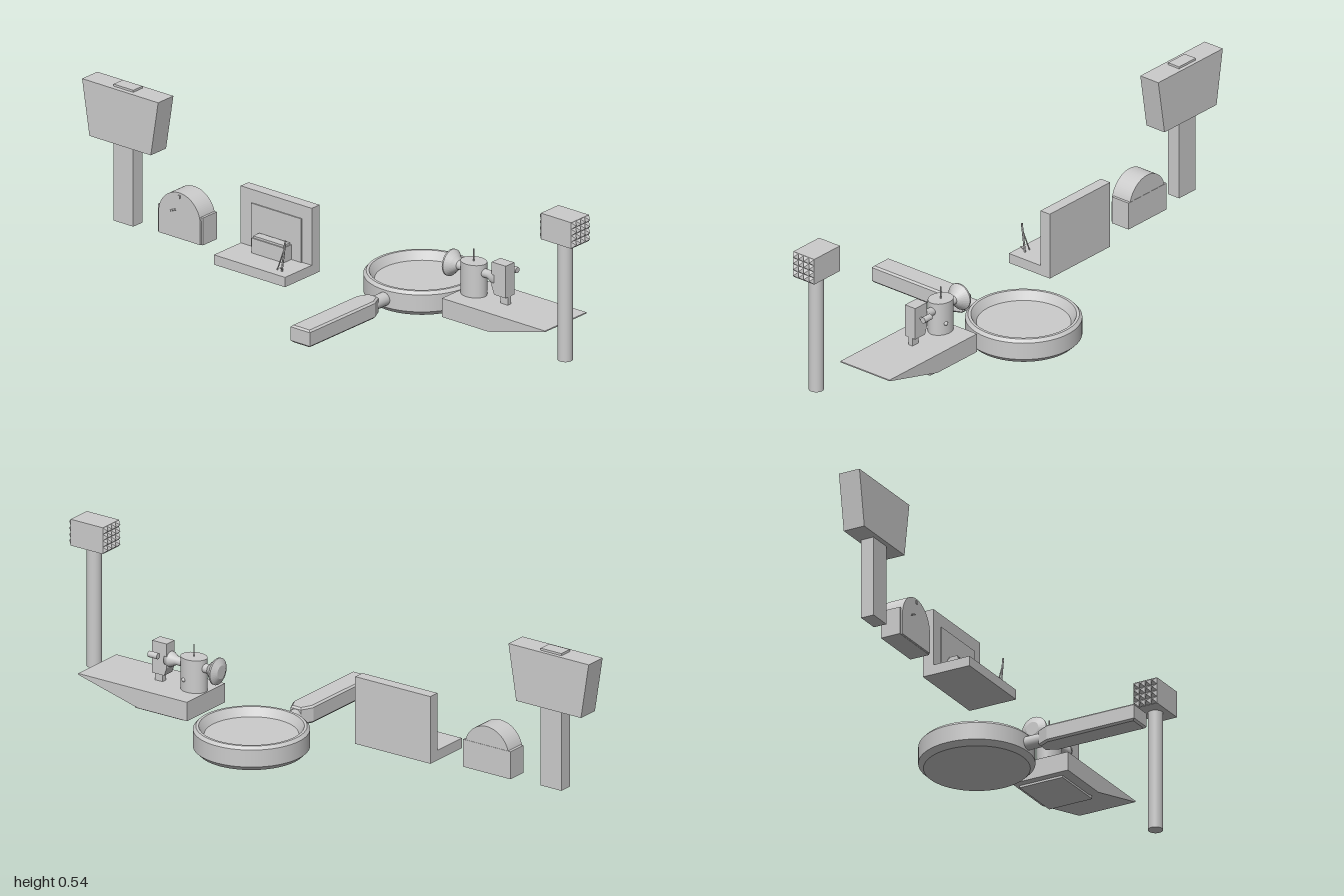
import * as THREE from 'three';

const mat = new THREE.MeshStandardMaterial({ color: 0xcccccc });
const flat = new THREE.MeshStandardMaterial({ color: 0xcccccc, flatShading: true });

function add(parent, name, geo, x = 0, y = 0, z = 0, m = flat) {
  const mesh = new THREE.Mesh(geo, m);
  mesh.name = name;
  mesh.position.set(x, y, z);
  parent.add(mesh);
  return mesh;
}

// Box given by its extents on each axis
function box(parent, name, x0, x1, y0, y1, z0, z1) {
  return add(parent, name, new THREE.BoxGeometry(x1 - x0, y1 - y0, z1 - z0),
    (x0 + x1) / 2, (y0 + y1) / 2, (z0 + z1) / 2);
}

// Outline in x and y, extruded from z0 to z1
function slab(parent, name, points, z0, z1) {
  const shape = new THREE.Shape(points.map(p => new THREE.Vector2(...p)));
  const geo = new THREE.ExtrudeGeometry(shape, { depth: z1 - z0, bevelEnabled: false });
  return add(parent, name, geo, 0, 0, z0);
}

// Thin round rod between two points
function rod(parent, name, a, b, r) {
  const path = new THREE.LineCurve3(new THREE.Vector3(...a), new THREE.Vector3(...b));
  return add(parent, name, new THREE.TubeGeometry(path, 1, r, 8), 0, 0, 0,
    new THREE.MeshStandardMaterial({ color: 0xcccccc, side: THREE.DoubleSide }));
}

function group(root, name) {
  const g = new THREE.Group();
  g.name = name;
  root.add(g);
  return g;
}

function makePaddle(root) {
  const g = group(root, 'paddle');
  slab(g, 'paddleHead', [[-0.97, 0.315], [-0.72, 0.315], [-0.69, 0.5], [-1, 0.5]], -0.023, 0.051);
  box(g, 'paddleHandle', -0.885, -0.805, 0.047, 0.507, -0.01, 0.035);
}

function makeDial(root) {
  const g = group(root, 'dialBlock');
  const cx = -0.618, cy = 0.125;
  box(g, 'dialBase', -0.71, -0.527, 0.055, 0.147, -0.04, 0.028);
  // Arched body
  const arch = new THREE.Shape();
  arch.moveTo(cx - 0.085, 0.056);
  arch.lineTo(cx + 0.085, 0.056);
  arch.absarc(cx, cy, 0.085, 0, Math.PI);
  add(g, 'dialArch', new THREE.ExtrudeGeometry(arch,
    { depth: 0.073, bevelEnabled: false, curveSegments: 24 }), 0, 0, -0.039);
  // Small markers and needle on the face
  box(g, 'dialMarker', cx - 0.004, cx + 0.004, 0.192, 0.202, 0.03, 0.037);
  rod(g, 'dialNeedle', [cx - 0.035, 0.142, 0.035], [cx - 0.012, 0.152, 0.035], 0.003);
}

function makeStand(root) {
  const g = group(root, 'backboardStand');
  box(g, 'standBase', -0.415, -0.125, 0.045, 0.078, -0.06, 0.108);
  box(g, 'backboard', -0.415, -0.125, 0.045, 0.27, -0.06, -0.022);
  box(g, 'backboardInset', -0.37, -0.165, 0.078, 0.225, -0.023, -0.018);
  box(g, 'block', -0.335, -0.205, 0.078, 0.128, -0.018, 0.02);
  box(g, 'blockLid', -0.332, -0.208, 0.126, 0.135, -0.014, 0.016);
  // Leaning sticks
  rod(g, 'stick', [-0.165, 0.078, 0.076], [-0.15, 0.184, 0.076], 0.003);
  rod(g, 'shortStick', [-0.185, 0.078, 0.074], [-0.155, 0.155, 0.076], 0.002);
  rod(g, 'hook', [-0.16, 0.087, 0.076], [-0.16, 0.095, 0.09], 0.002);
}

function makePan(root) {
  const g = group(root, 'pan');
  g.position.set(0.17, 0, -0.205);
  const profile = [[0, 0], [0.167, 0], [0.183, 0.016], [0.183, 0.073], [0.174, 0.083],
    [0.165, 0.083], [0.148, 0.055], [0, 0.055]];
  // Separate bands keep the profile edges crisp and the round sides smooth
  for (let i = 0; i < profile.length - 1; i++) {
    const band = profile.slice(i, i + 2).map(p => new THREE.Vector2(...p));
    add(g, 'panBand', new THREE.LatheGeometry(band, 64), 0, 0, 0, mat);
  }
  // Round neck and bevelled grip
  const neck = add(g, 'panNeck', new THREE.CylinderGeometry(0.022, 0.022, 0.09, 24), 0, 0.043, 0.21, mat);
  neck.rotation.x = Math.PI / 2;
  const outline = [[-0.016, -0.24], [0.016, -0.24], [0.033, -0.275], [0.033, -0.584], [-0.033, -0.584], [-0.033, -0.275]];
  const shape = new THREE.Shape(outline.map(p => new THREE.Vector2(...p)));
  const grip = add(g, 'panGrip', new THREE.ExtrudeGeometry(shape,
    { depth: 0.046, bevelThickness: 0.006, bevelSize: 0.006, bevelSegments: 1 }), 0, 0.02, 0);
  grip.rotation.x = -Math.PI / 2;
}

function makeMachine(root) {
  const g = group(root, 'machine');
  const z = -0.112, axis = 0.19;
  slab(g, 'wedgeBase', [[0.41, 0.047], [0.6, 0.047], [0.83, 0.106], [0.83, 0.11], [0.41, 0.11]], -0.218, -0.016);
  box(g, 'foot', 0.435, 0.62, 0.04, 0.05, -0.205, -0.05);
  // Oval drum with a rod on top
  const drum = add(g, 'drum', new THREE.CylinderGeometry(0.045, 0.045, 0.11, 40), 0.46, 0.164, z, mat);
  drum.scale.z = 0.82;
  rod(g, 'topRod', [0.46, 0.215, z], [0.46, 0.26, z], 0.002);
  // Flared horn, then the tapering neck, both turned about x
  const turned = (name, pts, m) => {
    const mesh = add(g, name, new THREE.LatheGeometry(pts.map(p => new THREE.Vector2(...p)), 32), 0, axis, z, m);
    mesh.rotation.z = -Math.PI / 2;
  };
  turned('horn', [[0, 0.354], [0.022, 0.354], [0.044, 0.366], [0.044, 0.371], [0.028, 0.388],
    [0.015, 0.4], [0.015, 0.43]], flat);
  turned('neck', [[0.014, 0.49], [0.014, 0.525], [0.025, 0.545], [0.025, 0.56], [0, 0.56]], mat);
  // End plate and its post
  slab(g, 'endPlate', [[0.56, 0.138], [0.607, 0.138], [0.607, 0.246], [0.55, 0.246], [0.55, 0.165]], -0.133, -0.091);
  box(g, 'endPost', 0.575, 0.605, 0.108, 0.14, -0.12, -0.104);
  // Side roller and knob
  const roller = add(g, 'sideRoller', new THREE.CylinderGeometry(0.01, 0.01, 0.035, 16), 0.582, 0.21, -0.158, mat);
  roller.rotation.z = Math.PI / 2;
  rod(g, 'rollerArm', [0.582, 0.21, -0.155], [0.582, 0.2, -0.125], 0.004);
  add(g, 'sideKnob', new THREE.SphereGeometry(0.007, 12, 8), 0.475, 0.148, -0.146, mat);
}

function makeMallet(root) {
  const g = group(root, 'mallet');
  add(g, 'malletHandle', new THREE.CylinderGeometry(0.024, 0.024, 0.405, 32), 0.927, 0.2475, 0, mat);
  box(g, 'malletHead', 0.863, 0.987, 0.447, 0.535, -0.043, 0.043);
  // Pyramid teeth on both striking faces
  const step = 0.0215;
  for (const side of [-1, 1]) {
    for (let i = 0; i < 4; i++) {
      for (let j = 0; j < 4; j++) {
        const geo = new THREE.ConeGeometry(step / Math.SQRT2, 0.013, 4, 1);
        geo.rotateY(Math.PI / 4).rotateZ(-side * Math.PI / 2);
        add(g, 'tooth', geo, 0.925 + side * 0.0685, 0.491 + (i - 1.5) * step, (j - 1.5) * step);
      }
    }
  }
}

export function createModel() {
  const root = new THREE.Group();
  root.name = 'kitchenTools';
  makePaddle(root);
  makeDial(root);
  makeStand(root);
  makePan(root);
  makeMachine(root);
  makeMallet(root);
  return root;
}
